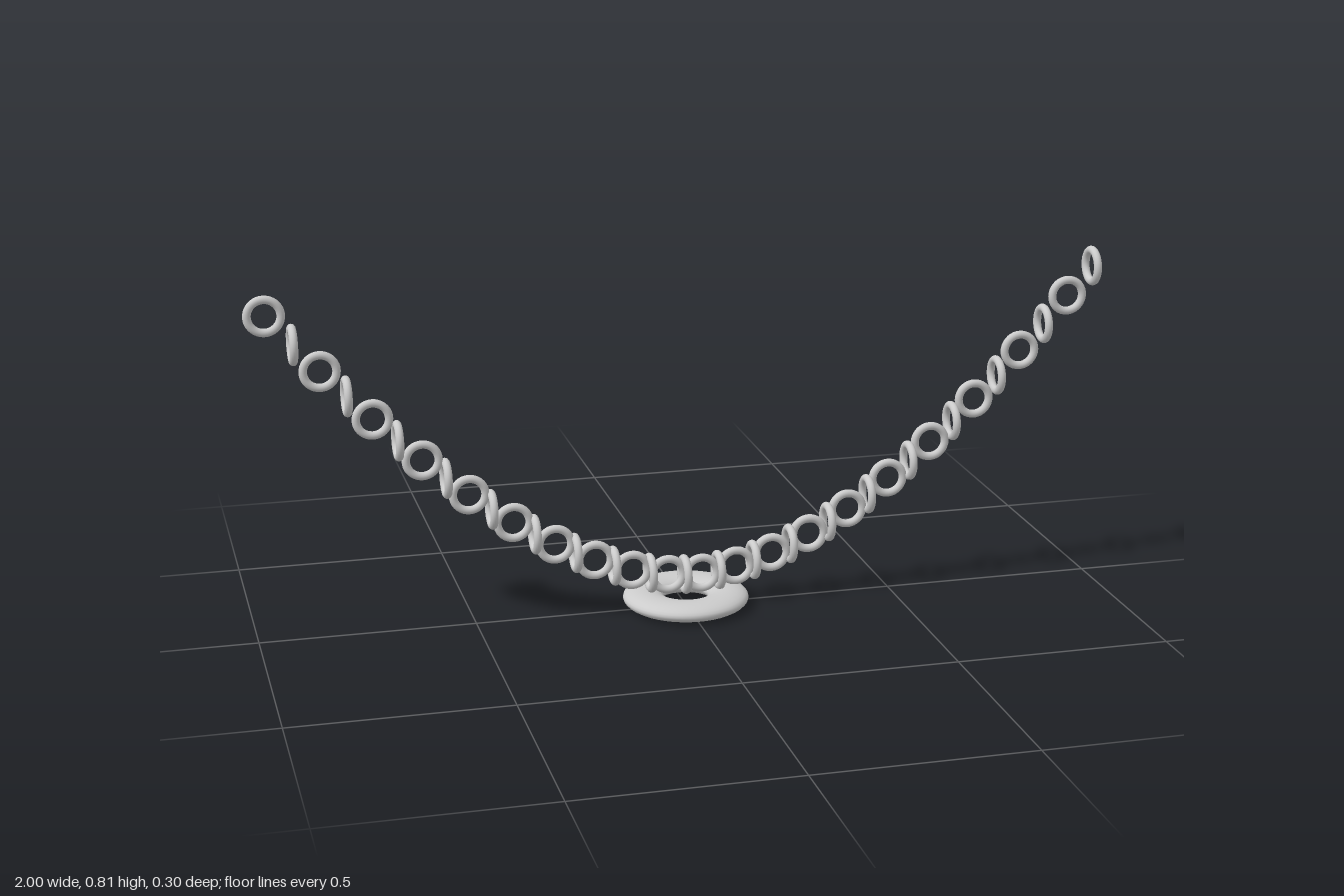
import * as THREE from 'three';

const LINKS = 40;
const RING = 0.0375;
const WIRE = 0.0095;

// Centre of a link on the hanging curve, u running from -1 to 1
function chainPoint(u) {
  const x = 0.018 + 0.972 * u * (0.805 + 0.195 * Math.abs(u));
  const y = 0.076 + 0.686 * u * u;
  return new THREE.Vector3(x, y, 0);
}

export function createModel() {
  const model = new THREE.Group();
  model.name = 'necklace';
  const material = new THREE.MeshStandardMaterial({ color: 0xcccccc });

  // Chain of round links, every second one turned a quarter
  const chain = new THREE.Group();
  chain.name = 'chain';
  const linkGeometry = new THREE.TorusGeometry(RING, WIRE, 16, 36);
  for (let i = 0; i < LINKS; i++) {
    const link = new THREE.Mesh(linkGeometry, material);
    link.name = `chainLink${i + 1}`;
    link.position.copy(chainPoint((2 * i) / (LINKS - 1) - 1));
    if (i % 2) link.rotation.y = Math.PI / 2;
    chain.add(link);
  }
  model.add(chain);

  // Flattened ring pendant lying at the lowest point
  const pendantGeometry = new THREE.TorusGeometry(0.1, 0.048, 24, 64);
  pendantGeometry.rotateX(Math.PI / 2);
  pendantGeometry.scale(1, 0.45, 1);
  const pendant = new THREE.Mesh(pendantGeometry, material);
  pendant.name = 'pendant';
  pendant.position.y = 0.0216;
  model.add(pendant);

  return model;
}
